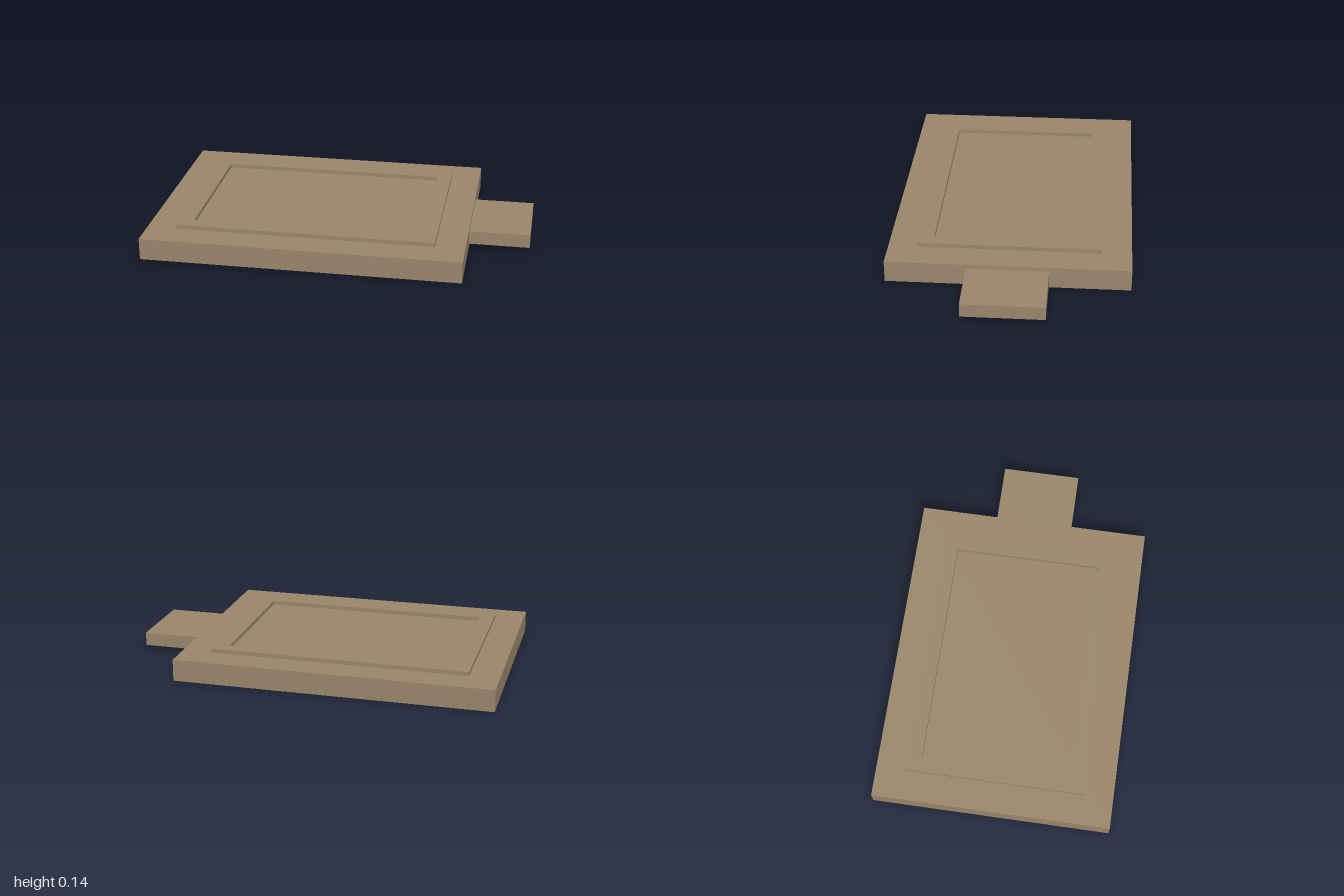
import * as THREE from 'three';

export function createModel() {
  const group = new THREE.Group();
  const wood = new THREE.MeshStandardMaterial({ color: 0x9b876c });
  wood.name = 'wood';

  const add = (name, geometry, x, y) => {
    const mesh = new THREE.Mesh(geometry, wood);
    mesh.name = name;
    mesh.position.set(x, y, 0);
    group.add(mesh);
  };

  // Closed rectangle, centred on the origin
  const rectangle = (path, w, d) => path
    .moveTo(-w / 2, -d / 2).lineTo(w / 2, -d / 2)
    .lineTo(w / 2, d / 2).lineTo(-w / 2, d / 2).closePath();

  // Main slab
  const top = 0.116;
  add('board', new THREE.BoxGeometry(1.68, top, 1.26), -0.16, top / 2);

  // Grip on the model's left end
  add('handle', new THREE.BoxGeometry(0.32, 0.072, 0.424), 0.84, 0.06);

  // Raised rectangular frame on the upper face
  const shape = new THREE.Shape();
  rectangle(shape, 1.368, 0.948);
  const hole = new THREE.Path();
  rectangle(hole, 1.21, 0.796);
  shape.holes.push(hole);
  const rim = new THREE.ExtrudeGeometry(shape, { depth: 0.021, bevelEnabled: false });
  rim.rotateX(-Math.PI / 2);
  add('raisedRim', rim, -0.16, top);

  return group;
}
